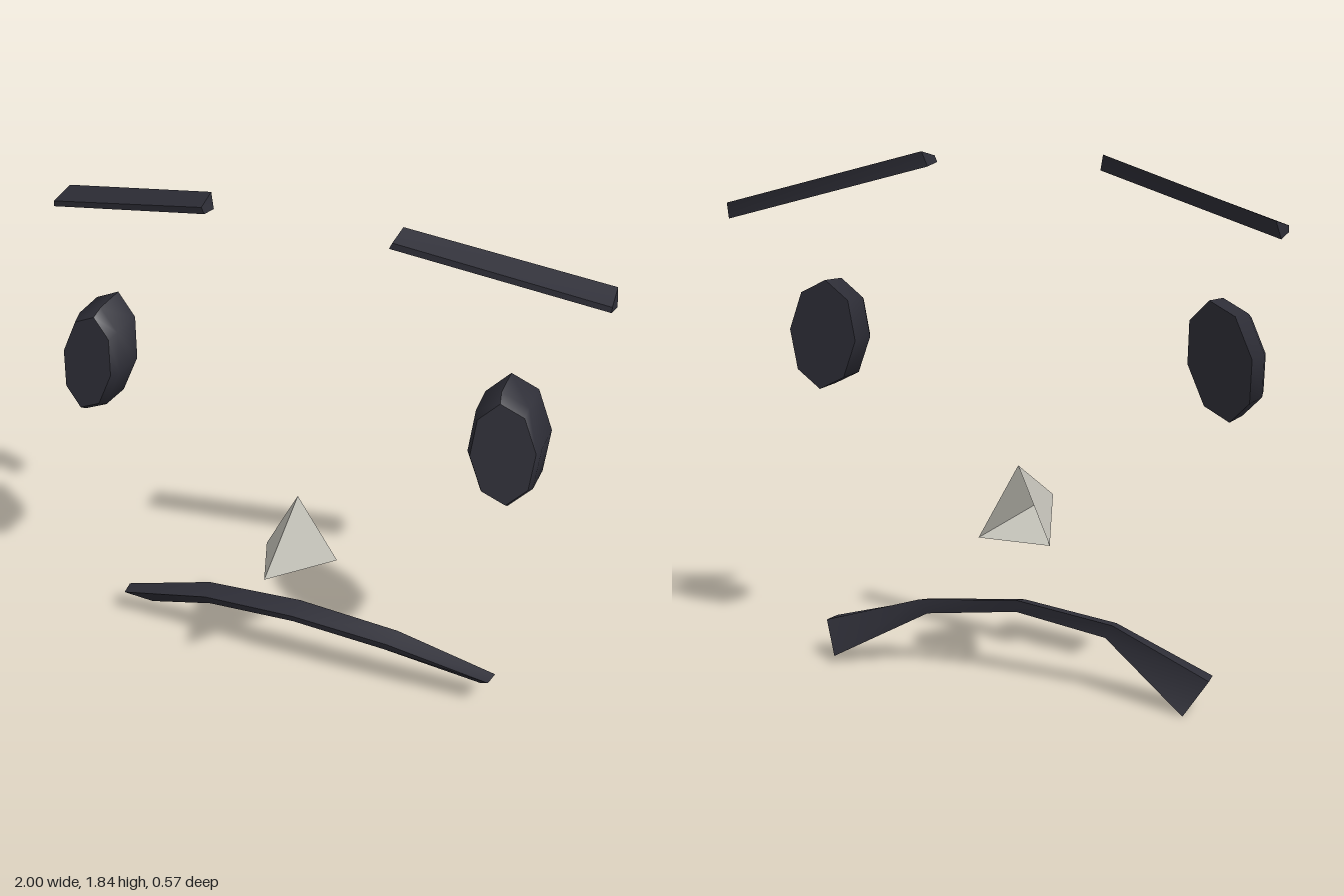
import * as THREE from 'three';
import { toCreasedNormals } from 'three/addons/utils/BufferGeometryUtils.js';

const charcoal = new THREE.MeshStandardMaterial({ color: 0x2e2e37 });
charcoal.name = 'charcoal';
const paleStone = new THREE.MeshStandardMaterial({ color: 0xc2c0b7, side: THREE.DoubleSide });
paleStone.name = 'pale stone';

// Skins a row of equal-sized rings of [x, y, z] points and closes both ends.
function loft(rings, crease) {
  const n = rings[0].length;
  const points = rings.flat();
  const index = [];
  for (let r = 0; r < rings.length - 1; r++) {
    for (let i = 0; i < n; i++) {
      const a = r * n + i, b = r * n + (i + 1) % n;
      index.push(a, b, b + n, a, b + n, a + n);
    }
  }
  const last = (rings.length - 1) * n;
  for (let i = 1; i < n - 1; i++) {
    index.push(0, i + 1, i);
    index.push(last, last + i, last + i + 1);
  }
  // Turn the faces outward whatever the ring direction
  let volume = 0;
  const v = points.map((p) => new THREE.Vector3(...p));
  for (let i = 0; i < index.length; i += 3) {
    volume += v[index[i]].dot(v[index[i + 1]].clone().cross(v[index[i + 2]]));
  }
  if (volume < 0) index.reverse();
  const geometry = new THREE.BufferGeometry();
  geometry.setAttribute('position', new THREE.Float32BufferAttribute(points.flat(), 3));
  geometry.setIndex(index);
  return toCreasedNormals(geometry, crease);
}

// Oval eight-sided ring, rolled inward and slanted back towards top and outside
function eyeRing(side, scale, z, shift) {
  const roll = 0.15;
  return Array.from({ length: 8 }, (_, i) => {
    const t = (i / 8) * Math.PI * 2;
    const u = 0.12 * scale * Math.sin(t), w = 0.203 * scale * Math.cos(t);
    const dx = u * Math.cos(roll) - w * Math.sin(roll);
    const dy = u * Math.sin(roll) + w * Math.cos(roll);
    return [side * (0.745 + shift + dx), 1.186 + dy, z - 0.15 * dy - 0.2 * dx];
  });
}

// Slanted bar from the inner to the outer end
function browRings(side) {
  const inner = [[0.33, 1.825, 0.012], [0.335, 1.842, -0.075], [0.32, 1.79, -0.06], [0.32, 1.803, 0.012]];
  const outer = [[1, 1.642, -0.183], [0.99, 1.662, -0.285], [1, 1.605, -0.26], [1, 1.622, -0.182]];
  return [inner, outer].map((ring) => ring.map(([x, y, z]) => [side * x, y, z]));
}

// Mouth sections: front top, back top, back bottom, front bottom
function mouthRings() {
  const middle = [[0, 0.272, 0.042], [0, 0.29, -0.037], [0, 0.245, -0.03], [0, 0.245, 0.035]];
  const bend = [[0.36, 0.237, 0.02], [0.375, 0.25, -0.055], [0.345, 0.2, -0.045], [0.345, 0.205, 0.01]];
  const corner = [[0.73, 0.128, -0.03], [0.738, 0.126, -0.09], [0.67, 0.015, -0.155], [0.67, 0.025, -0.14]];
  // The right corner droops a touch lower than the left
  const mirror = (ring, drop) => ring.map(([x, y, z]) => [-x, y - drop, z]);
  const lift = corner.map(([x, y, z]) => [x, y + 0.013, z]);
  return [mirror(corner, 0.013), mirror(bend, 0), middle, bend, lift];
}

// Three-sided pyramid, open at the back
function noseGeometry() {
  const tip = [0, 0.604, 0.283], top = [0, 0.767, -0.012];
  const left = [0.137, 0.503, -0.048], right = [-0.137, 0.503, -0.048];
  const geometry = new THREE.BufferGeometry();
  const corners = [tip, left, top, tip, top, right, tip, right, left].flat();
  geometry.setAttribute('position', new THREE.Float32BufferAttribute(corners, 3));
  geometry.computeVertexNormals();
  return geometry;
}

export function createModel() {
  const group = new THREE.Group();
  group.name = 'face';
  const add = (name, geometry, material) => {
    const mesh = new THREE.Mesh(geometry, material);
    mesh.name = name;
    group.add(mesh);
  };

  for (const [prefix, side] of [['left', 1], ['right', -1]]) {
    add(prefix + 'Brow', loft(browRings(side), 0.9), charcoal);
    const eye = [eyeRing(side, 1, -0.07, 0), eyeRing(side, 0.98, 0.05, 0.005), eyeRing(side, 0.87, 0.085, 0.01)];
    add(prefix + 'Eye', loft(eye, 0.95), charcoal);
  }
  add('nose', noseGeometry(), paleStone);
  add('mouth', loft(mouthRings(), 0.9), charcoal);
  return group;
}
